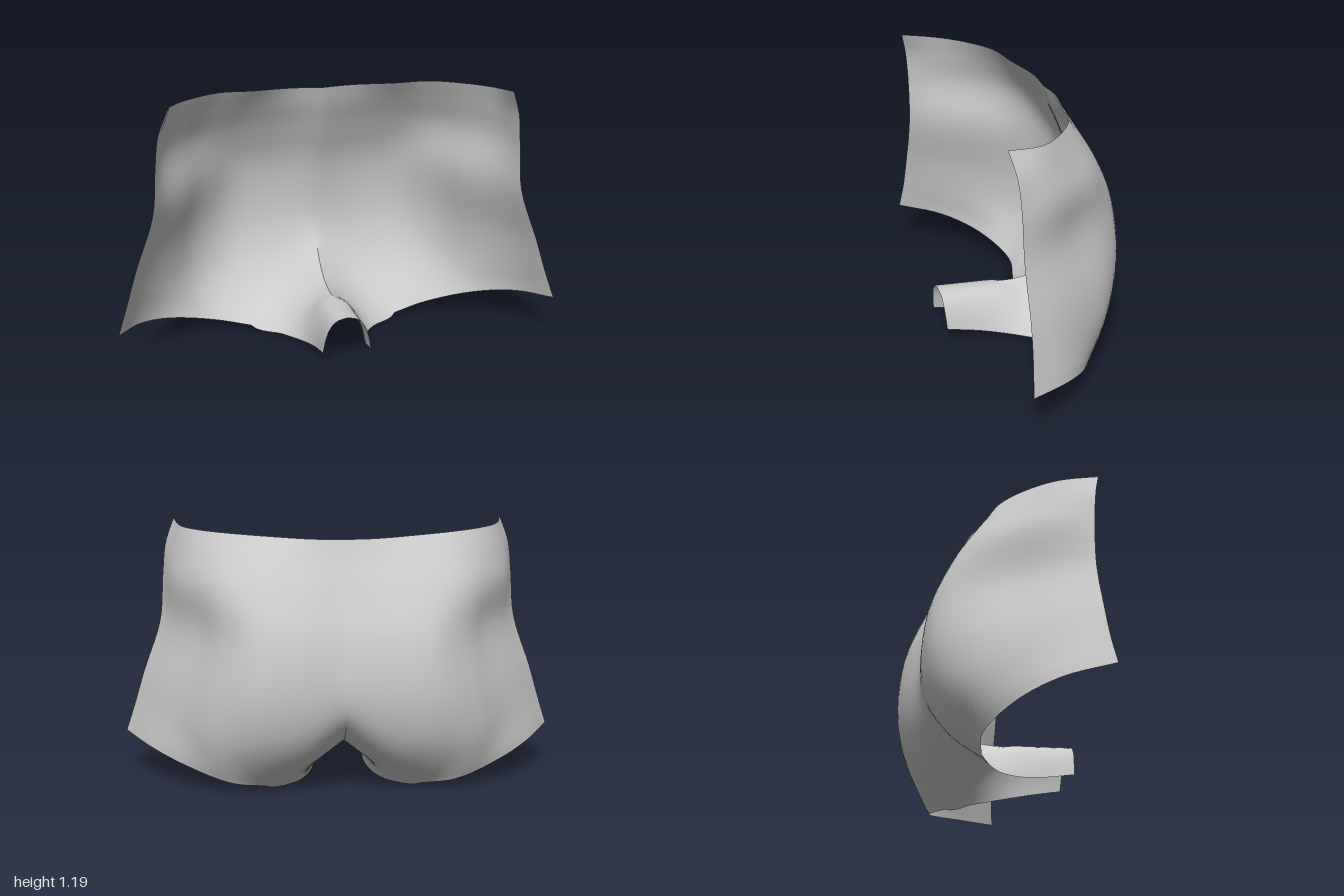
import * as THREE from 'three';
import { mergeVertices, mergeGeometries, toCreasedNormals } from 'three/addons/utils/BufferGeometryUtils.js';

const curve = (pts) => new THREE.CatmullRomCurve3(pts.map((p) => (p.isVector3 ? p : new THREE.Vector3(...p))));

// Cross-sections of the left half, from the centre seam out to the side edge
const seatCurves = [
  [[0, 1.143, -0.15], [0.14, 1.147, -0.155], [0.33, 1.155, -0.112], [0.48, 1.164, -0.08], [0.63, 1.168, 0.02], [0.72, 1.173, 0.13], [0.76, 1.19, 0.285]],
  [[0, 1.06, -0.178], [0.16, 1.06, -0.192], [0.36, 1.06, -0.175], [0.52, 1.06, -0.125], [0.655, 1.06, -0.01], [0.745, 1.065, 0.115], [0.798, 1.075, 0.258]],
  [[0, 0.93, -0.23], [0.2, 0.93, -0.26], [0.4, 0.93, -0.245], [0.55, 0.93, -0.175], [0.675, 0.93, -0.04], [0.765, 0.93, 0.1], [0.813, 0.93, 0.245]],
  [[0, 0.72, -0.305], [0.22, 0.72, -0.343], [0.39, 0.72, -0.325], [0.535, 0.72, -0.215], [0.645, 0.72, -0.06], [0.748, 0.72, 0.09], [0.83, 0.72, 0.24]],
  [[0, 0.46, -0.328], [0.22, 0.44, -0.36], [0.41, 0.43, -0.345], [0.575, 0.43, -0.243], [0.707, 0.45, -0.08], [0.825, 0.47, 0.09], [0.91, 0.48, 0.24]],
  [[0, 0.35, -0.287], [0.19, 0.25, -0.3], [0.4, 0.21, -0.285], [0.58, 0.22, -0.22], [0.73, 0.26, -0.08], [0.86, 0.3, 0.08], [0.958, 0.32, 0.247]],
].map(curve);

// Leg hem, from the inner thigh to the side edge
const hemCurve = curve([[0.35, 0.017, -0.13], [0.51, 0.045, -0.165], [0.72, 0.11, -0.08], [0.88, 0.16, 0.065], [1, 0.19, 0.26]]);

// Arched sections of the crotch strip, running forward from under the seat
const stripCurves = [
  [[0, 0.235, -0.15], [0.17, 0.135, -0.19], [0.35, 0.017, -0.13]],
  [[0, 0.208, -0.03], [0.12, 0.11, -0.045], [0.22, 0.002, -0.03]],
  [[0, 0.208, 0.08], [0.055, 0.188, 0.08], [0.095, 0.138, 0.08], [0.128, 0.07, 0.08], [0.152, 0.01, 0.08]],
  [[0, 0.212, 0.2], [0.05, 0.2, 0.2], [0.085, 0.155, 0.2], [0.105, 0.1, 0.2], [0.118, 0.03, 0.2]],
  [[0, 0.225, 0.362], [0.05, 0.21, 0.36], [0.083, 0.17, 0.358], [0.1, 0.115, 0.354], [0.11, 0.06, 0.35]],
].map(curve);

const COLS = 30, STRIP_COLS = 10, STEPS = 5;
const tuck = stripCurves[1].getPoint(1).sub(stripCurves[0].getPoint(1));

// Skins one half with columns running down the seat; side = 1 for left, -1 for right
function halfShell(side) {
  const pos = [], idx = [], starts = [], lengths = [];
  for (let i = 0; i <= COLS; i++) {
    const pts = seatCurves.map((c) => c.getPoint(i / COLS));
    let spans = seatCurves.length;
    if (i <= STRIP_COLS) {
      // Inner columns carry on along the strip
      pts.push(...stripCurves.map((c) => c.getPoint(i / STRIP_COLS)));
      spans = pts.length - 1;
    } else {
      // Outer columns stop at the hem; one point beyond it sets how far the cloth tucks under
      const t = (i - STRIP_COLS) / (COLS - STRIP_COLS);
      const hem = hemCurve.getPoint(t);
      const straight = hem.clone().sub(pts[pts.length - 1]);
      pts.push(hem, tuck.clone().lerp(straight, Math.sqrt(t)).add(hem));
    }
    const n = spans * STEPS, column = curve(pts);
    starts.push(pos.length / 3);
    lengths.push(n);
    for (let j = 0; j <= n; j++) {
      const p = column.getPoint(j / ((pts.length - 1) * STEPS));
      pos.push(i === 0 ? 0 : p.x * side, p.y, p.z);
    }
  }
  for (let i = 0; i < COLS; i++) {
    for (let j = 0; j < Math.min(lengths[i], lengths[i + 1]); j++) {
      const a = starts[i] + j, b = starts[i + 1] + j;
      if (side > 0) idx.push(a, b, a + 1, b, b + 1, a + 1);
      else idx.push(a, a + 1, b, b, a + 1, b + 1);
    }
  }
  const g = new THREE.BufferGeometry();
  g.setAttribute('position', new THREE.Float32BufferAttribute(pos, 3));
  g.setIndex(idx);
  return g;
}

export function createModel() {
  const group = new THREE.Group();
  group.name = 'shortsBack';

  // Both halves joined along the centre seam, smooth apart from the deep crease
  const shell = mergeVertices(mergeGeometries([halfShell(1), halfShell(-1)]));
  const mesh = new THREE.Mesh(
    toCreasedNormals(shell, 0.8),
    new THREE.MeshStandardMaterial({ color: 0xcccccc, side: THREE.DoubleSide })
  );
  mesh.name = 'backPanel';
  group.add(mesh);
  return group;
}
